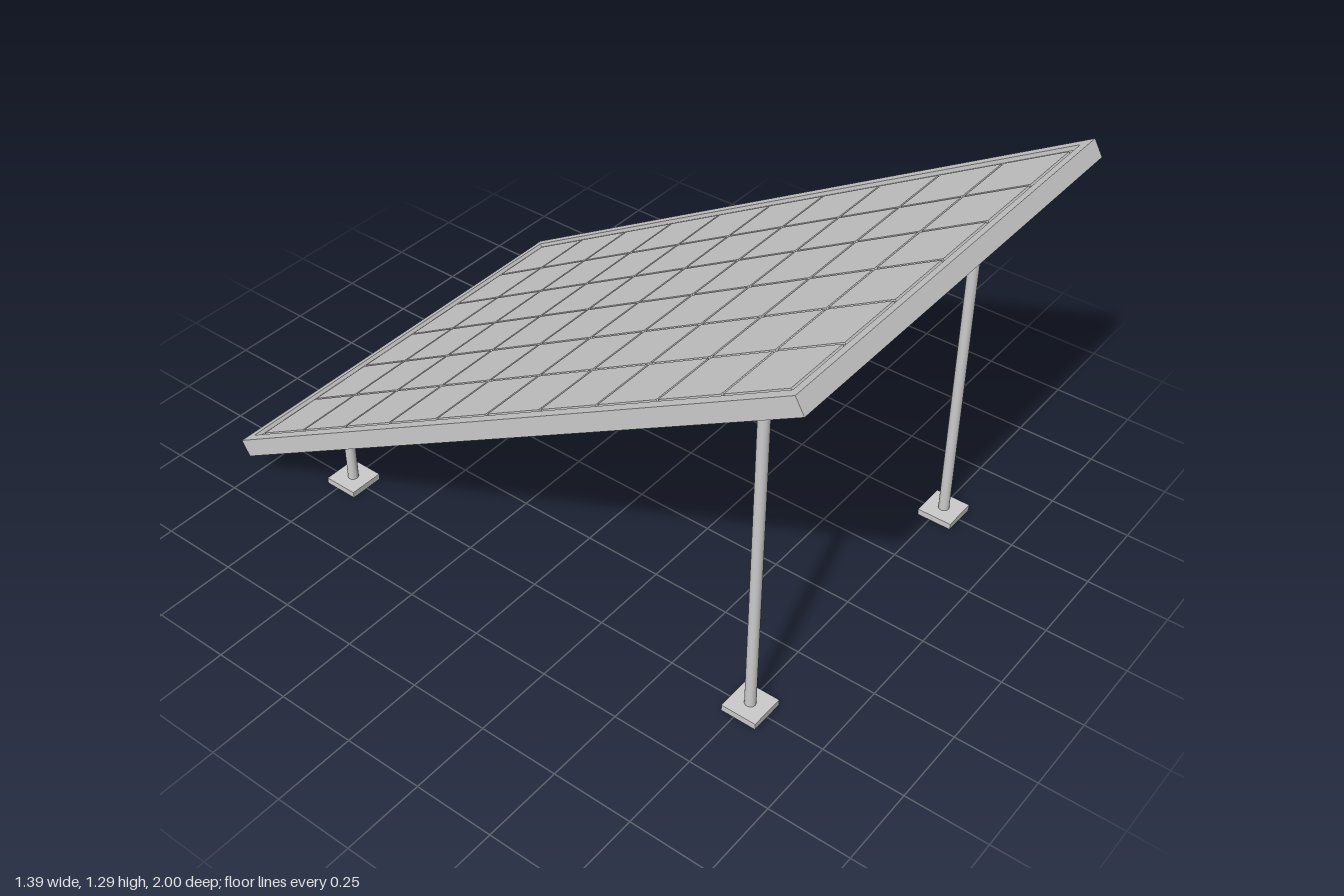
import * as THREE from 'three';

const grey = new THREE.MeshStandardMaterial({ color: 0xcccccc });
grey.name = 'light grey metal';

const W = 1.39, L = 2.277, T = 0.055; // panel width, length, thickness
const RIM = 0.03, RECESS = 0.012, CELL_H = 0.006;

function add(parent, name, geometry, x = 0, y = 0, z = 0) {
  const mesh = new THREE.Mesh(geometry, grey);
  mesh.name = name;
  mesh.position.set(x, y, z);
  parent.add(mesh);
  return mesh;
}

function rectangle(path, w, h) {
  path.moveTo(-w / 2, -h / 2);
  path.lineTo(w / 2, -h / 2);
  path.lineTo(w / 2, h / 2);
  path.lineTo(-w / 2, h / 2);
  path.closePath();
  return path;
}

function createPanel() {
  const panel = new THREE.Group();
  panel.name = 'panel';

  // Raised rim around the panel
  const outline = rectangle(new THREE.Shape(), W, L);
  outline.holes.push(rectangle(new THREE.Path(), W - 2 * RIM, L - 2 * RIM));
  const rim = new THREE.ExtrudeGeometry(outline, { depth: T, bevelEnabled: false });
  rim.rotateX(-Math.PI / 2);
  add(panel, 'frame', rim, 0, -T / 2, 0);

  // Recessed backing plate
  const slab = new THREE.BoxGeometry(W - 2 * RIM, T - RECESS, L - 2 * RIM);
  add(panel, 'backing', slab, 0, -RECESS / 2, 0);

  // Six by ten cells, separated by narrow grooves
  const cols = 6, rows = 10, pitchX = 0.216, pitchZ = 0.2175, gap = 0.008;
  const cell = new THREE.BoxGeometry(pitchX - gap, CELL_H, pitchZ - gap);
  const y = T / 2 - RECESS + CELL_H / 2;
  for (let c = 0; c < cols; c++) {
    for (let r = 0; r < rows; r++) {
      add(panel, 'cell', cell, (c - (cols - 1) / 2) * pitchX, y, (r - (rows - 1) / 2) * pitchZ);
    }
  }
  return panel;
}

export function createModel() {
  const model = new THREE.Group();
  model.name = 'solarPanel';

  const panel = createPanel();
  panel.position.y = 0.698;
  panel.rotation.x = -Math.PI / 6;
  model.add(panel);

  // Tall and short posts, each on a square foot plate
  const foot = new THREE.BoxGeometry(0.111, 0.02, 0.111);
  const posts = [['tallPost', 0.765, 1.107], ['shortPost', -0.735, 0.241]];
  for (const [name, z, top] of posts) {
    const post = new THREE.CylinderGeometry(0.0165, 0.0165, top - 0.02, 24);
    for (const x of [-0.5, 0.5]) {
      add(model, name, post, x, (top + 0.02) / 2, z);
      add(model, 'footPlate', foot, x, 0.01, z);
    }
  }
  return model;
}
